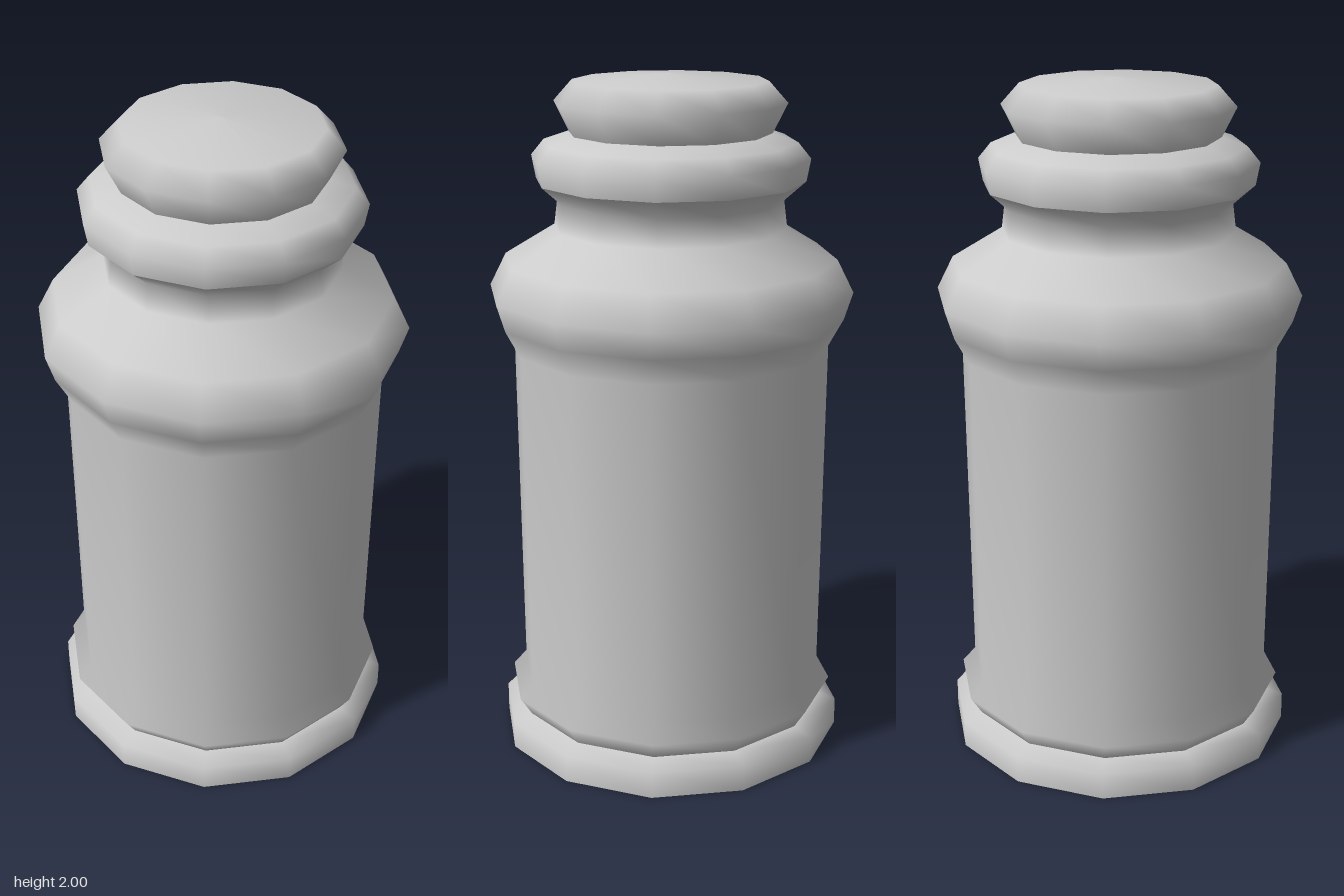
import * as THREE from 'three';

const SIDES = 12;

export function createModel() {
  const model = new THREE.Group();
  model.name = 'jar';
  const material = new THREE.MeshStandardMaterial({ color: 0xcccccc });

  // Turns a [radius, height] profile, listed from bottom to top, about the y axis
  function turned(name, profile) {
    const points = profile.map(([r, y]) => new THREE.Vector2(r, y));
    const mesh = new THREE.Mesh(new THREE.LatheGeometry(points, SIDES), material);
    mesh.name = name;
    model.add(mesh);
  }

  // Flat underside and foot ring
  turned('underside', [[0, 0], [0.517, 0]]);
  turned('foot', [[0.517, 0], [0.517, 0.08], [0.46, 0.1]]);

  // Lower bead, slightly flared wall, bulging shoulder and neck
  turned('body', [
    [0.46, 0.1], [0.495, 0.155], [0.456, 0.2],
    [0.465, 1.22], [0.508, 1.3], [0.533, 1.38], [0.485, 1.475],
    [0.338, 1.565], [0.328, 1.645], [0.39, 1.7],
  ]);

  // Rounded collar around the mouth
  turned('collar', [[0.39, 1.7], [0.402, 1.765], [0.365, 1.81], [0.292, 1.835]]);

  // Stopper with a gently domed top
  turned('stopper', [[0.292, 1.835], [0.334, 1.92], [0.28, 1.98], [0, 2]]);

  return model;
}
